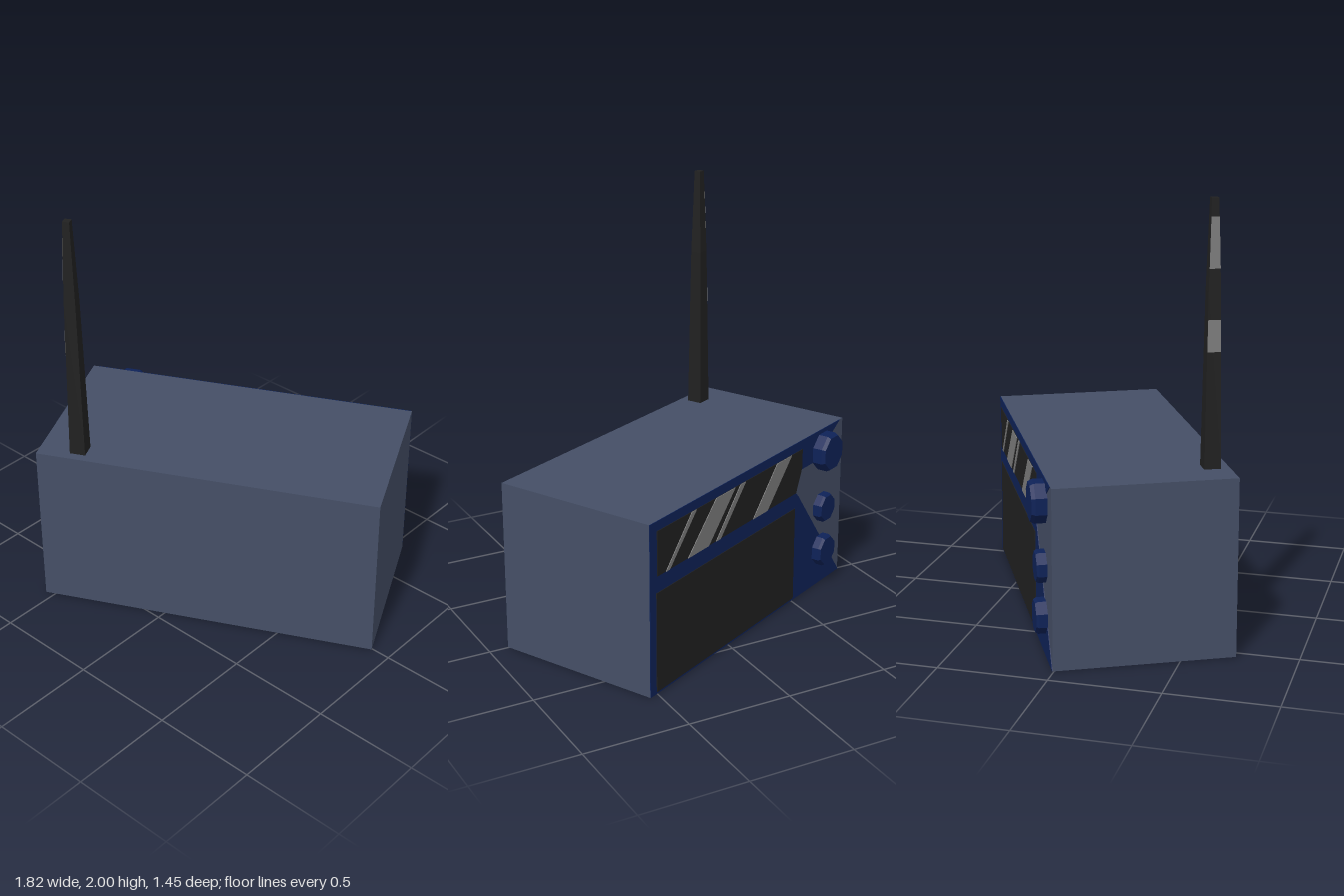
import * as THREE from 'three';

const mat = (name, color, extra = {}) => {
  const m = new THREE.MeshStandardMaterial({ color, flatShading: true, ...extra });
  m.name = name;
  return m;
};

const L = 1.62, H = 0.82, D = 0.816, BACK = -D / 2;

export function createModel() {
  const slate = mat('slate casing', 0x454f66);
  const navy = mat('navy trim', 0x0e2258);
  const black = mat('black', 0x212121);
  const grey = mat('grey shine', 0x7e7e7e, { side: THREE.DoubleSide });

  const model = new THREE.Group();
  model.name = 'radio';
  const add = (name, geo, material) => {
    const mesh = new THREE.Mesh(geo, material);
    mesh.name = name;
    model.add(mesh);
    return mesh;
  };

  // Casing
  add('casing', new THREE.BoxGeometry(L, H, D).translate(0, H / 2, 0), slate);

  // Thin plates standing on the control face (local -z)
  const plate = (name, pts, height, material) => {
    const shape = new THREE.Shape(pts.map(([x, y]) => new THREE.Vector2(x, y)));
    const geo = new THREE.ExtrudeGeometry(shape, { depth: height, bevelEnabled: false });
    return add(name, geo.translate(0, 0, BACK - height), material);
  };

  plate('trimPanel', [
    [0.81, 0], [0.81, 0.82], [-0.78, 0.82], [-0.70, 0.77], [-0.53, 0.67],
    [-0.425, 0.67], [-0.375, 0.565], [-0.40, 0.54], [-0.81, 0],
  ], 0.003, navy);
  plate('speakerGrille', [[0.766, 0.01], [0.766, 0.487], [-0.366, 0.487], [-0.366, 0.01]], 0.006, black);
  const top = 0.775, bottom = 0.565;
  plate('display', [
    [0.76, bottom], [0.76, top], [-0.425, top], [-0.425, 0.68], [-0.373, bottom],
  ], 0.006, black);

  // Slanted reflections on the display: top and bottom x ranges
  [
    [0.505, 0.469, 0.70, 0.672],
    [0.316, 0.163, 0.534, 0.374],
    [0.12, 0.076, 0.316, 0.28],
    [-0.193, -0.323, 0.01, -0.113],
  ].forEach(([t0, t1, b0, b1], i) =>
    plate('displayShine' + (i + 1), [[b0, bottom], [t0, top], [t1, top], [b1, bottom]], 0.009, grey));

  // Eight-sided knobs with a small chamfer
  [
    ['tuningKnob', 0.71, 0.097, 0.068],
    ['middleKnob', 0.414, 0.074, 0.045],
    ['lowerKnob', 0.185, 0.08, 0.05],
  ].forEach(([name, y, r, depth]) => {
    const profile = [[0, 0], [r, 0], [r, depth * 0.75], [r * 0.9, depth], [0, depth]]
      .map(([a, b]) => new THREE.Vector2(a, b));
    const geo = new THREE.LatheGeometry(profile, 8, Math.PI / 8).rotateX(-Math.PI / 2);
    add(name, geo, navy).position.set(-0.618, y, BACK);
  });

  // Square tapering antenna: half width and height
  const aerial = [[0.0375, H], [0.027, 1.6], [0.016, 2]];
  const antenna = new THREE.Group();
  antenna.name = 'antenna';
  antenna.position.set(-0.621, 0, 0.328);
  model.add(antenna);
  const ring = aerial.map(([h, y]) => new THREE.Vector2(h * Math.SQRT2, y));
  const mast = new THREE.Mesh(new THREE.LatheGeometry(
    [new THREE.Vector2(0, H), ...ring, new THREE.Vector2(0, 2)], 4, Math.PI / 4), black);
  mast.name = 'antennaMast';
  antenna.add(mast);

  // Reflections on the outer side of the antenna
  const halfWidth = (y) => {
    const [a, b] = y < 1.6 ? [aerial[0], aerial[1]] : [aerial[1], aerial[2]];
    return a[0] + (b[0] - a[0]) * (y - a[1]) / (b[1] - a[1]);
  };
  [[1.34, 1.48], [1.7, 1.92]].forEach(([y0, y1], i) => {
    const a = halfWidth(y0), b = halfWidth(y1), e = 0.002;
    const geo = new THREE.BufferGeometry();
    geo.setAttribute('position', new THREE.Float32BufferAttribute(
      [-a - e, y0, -a, -a - e, y0, a, -b - e, y1, b, -b - e, y1, -b], 3));
    geo.setIndex([0, 1, 2, 0, 2, 3]);
    geo.computeVertexNormals();
    const shine = new THREE.Mesh(geo, grey);
    shine.name = 'antennaShine' + (i + 1);
    antenna.add(shine);
  });

  // The radio stands turned at an angle
  model.rotation.y = 0.461;
  const root = new THREE.Group();
  root.name = 'model';
  root.add(model);
  return root;
}
